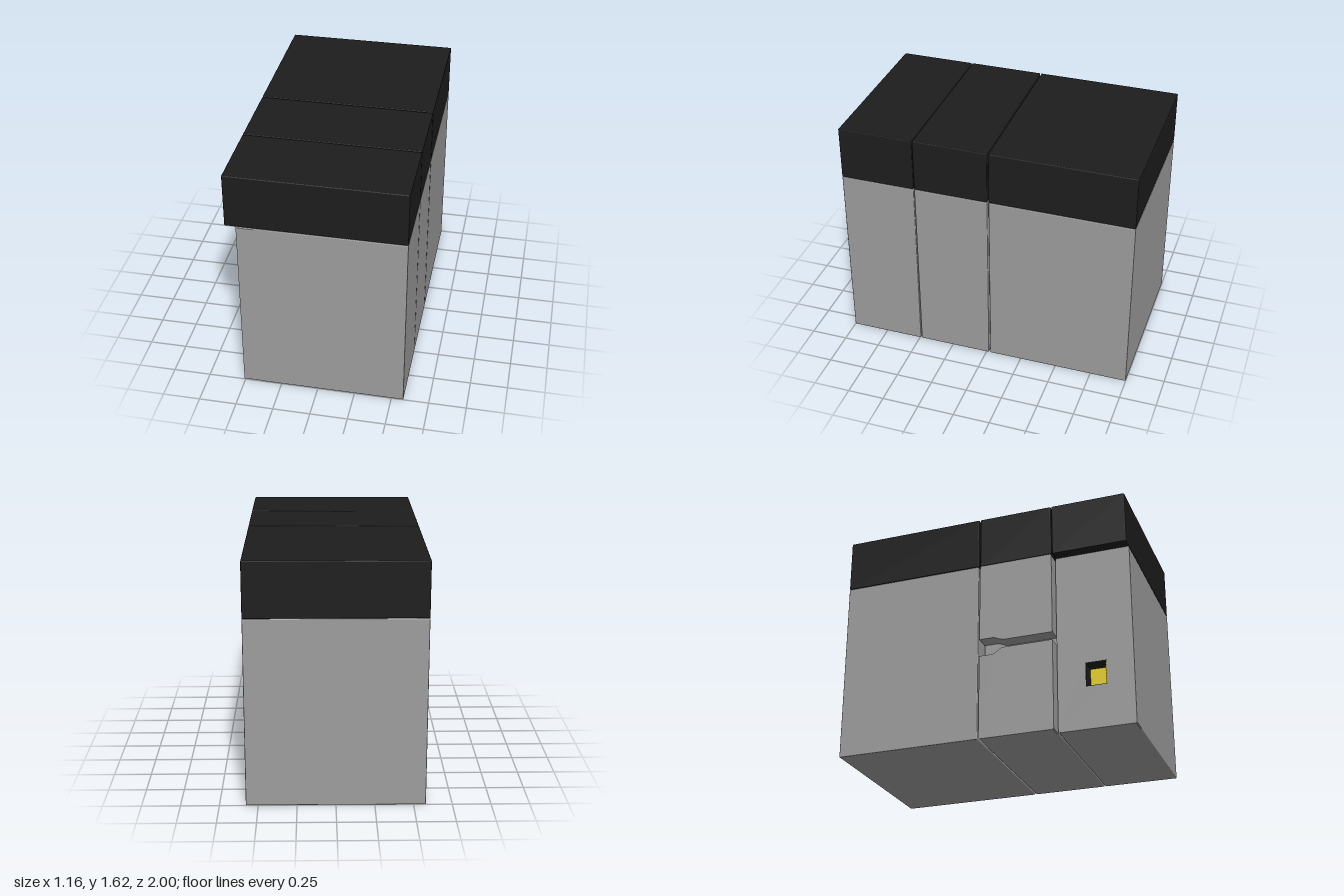
import * as THREE from 'three';
import { RoundedBoxGeometry } from 'three/addons/geometries/RoundedBoxGeometry.js';

const grey = new THREE.MeshStandardMaterial({ color: 0x9d9d9d });
const black = new THREE.MeshStandardMaterial({ color: 0x1d1d1d });
const yellow = new THREE.MeshStandardMaterial({ color: 0xe6d020 });

const HALF = 0.58;      // half width of the cabinets
const BODY_TOP = 1.25;
const LID_BOTTOM = 1.252;
const LID_TOP = 1.617;
const EDGE = 0.006;     // softened edge size

function add(parent, name, geometry, material) {
  const mesh = new THREE.Mesh(geometry, material);
  mesh.name = name;
  parent.add(mesh);
  return mesh;
}

// Box given by its limits on each axis, with softened edges if r > 0
function block(parent, name, [x0, x1], [y0, y1], [z0, z1], material, r = EDGE) {
  const size = [x1 - x0, y1 - y0, z1 - z0];
  const geo = r > 0 ? new RoundedBoxGeometry(...size, 2, r) : new THREE.BoxGeometry(...size);
  geo.translate((x0 + x1) / 2, (y0 + y1) / 2, (z0 + z1) / 2);
  return add(parent, name, geo, material);
}

// Outline of [z, y] points
const outline = (points, Type = THREE.Shape) => new Type(points.map(p => new THREE.Vector2(...p)));

// Cut corners along the bottom and top of a body, matching its softened edges
const bottomEdge = ([z0, z1]) => [[z0, EDGE], [z0 + EDGE, 0], [z1 - EDGE, 0], [z1, EDGE]];
const topEdge = ([z0, z1]) => [
  [z1, BODY_TOP - EDGE], [z1 - EDGE, BODY_TOP], [z0 + EDGE, BODY_TOP], [z0, BODY_TOP - EDGE],
];

// Slab with a z-y outline, running from xInner out to xOuter on the -x side
function sideSlab(parent, name, shape, xInner, xOuter) {
  const geo = new THREE.ExtrudeGeometry(shape, { depth: xInner - xOuter, bevelEnabled: false });
  geo.rotateY(-Math.PI / 2);
  geo.translate(xInner, 0, 0);
  return add(parent, name, geo, grey);
}

export function createModel() {
  const model = new THREE.Group();
  model.name = 'cabinet';
  const section = name => {
    const g = new THREE.Group();
    g.name = name;
    model.add(g);
    return g;
  };
  const back = section('backSection');
  const middle = section('middleSection');
  const front = section('frontSection');

  const backZ = [-1, -0.028], midZ = [-0.018, 0.486], frontZ = [0.492, 1];

  // Dark lids
  for (const [group, z] of [[back, backZ], [middle, midZ], [front, frontZ]]) {
    block(group, 'lid', [-HALF, HALF], [LID_BOTTOM, LID_TOP], z, black);
  }

  // Plain rear body
  block(back, 'backBody', [-HALF, HALF], [0, BODY_TOP], backZ, grey);

  // Middle body, with a cable channel that narrows toward the front
  const wall = -0.48;
  block(middle, 'middleBody', [wall, HALF], [0, BODY_TOP], midZ, grey);
  const [m0, m1] = midZ;
  sideSlab(middle, 'lowerChannelSlab', outline([
    ...bottomEdge(midZ),
    [m1, 0.62], [0.15, 0.62], [0.13, 0.615], [0.09, 0.585], [0.07, 0.58], [m0, 0.58],
  ]), wall + 0.02, -HALF);
  sideSlab(middle, 'upperChannelSlab', outline([
    [m0, 0.70], [0.07, 0.70], [0.09, 0.697], [0.13, 0.68], [0.15, 0.675], [m1, 0.675],
    ...topEdge(midZ),
  ]), wall + 0.02, -HALF);

  // Front body, set in on the -x side, with a socket opening
  const outer = -0.507, inner = -0.4;
  const hz = [0.68, 0.82], hy = [0.29, 0.455];
  block(front, 'frontBody', [inner, HALF], [0, BODY_TOP], frontZ, grey);
  const panel = outline([...bottomEdge(frontZ), ...topEdge(frontZ)]);
  panel.holes.push(outline([
    [hz[0], hy[0]], [hz[0], hy[1]], [hz[1], hy[1]], [hz[1], hy[0]],
  ], THREE.Path));
  sideSlab(front, 'socketPanel', panel, inner + 0.02, outer);

  // Socket lining
  const socket = new THREE.Group();
  socket.name = 'socket';
  front.add(socket);
  const t = 0.004, sx = [outer + 0.002, inner];
  block(socket, 'socketFloor', sx, [hy[0], hy[0] + t], hz, black, 0);
  block(socket, 'socketCeiling', sx, [hy[1] - t, hy[1]], hz, black, 0);
  block(socket, 'socketSide', sx, hy, [hz[0], hz[0] + t], black, 0);
  const plateY = [hy[0] + t, hy[1] - t];
  block(socket, 'contactBack', [inner - t, inner], plateY, [hz[0] + t, hz[1]], yellow, 0);
  block(socket, 'contactPlate', sx, plateY, [hz[1] - t, hz[1]], yellow, 0);

  // Rows of small contacts on the plate
  const stud = new THREE.CylinderGeometry(0.007, 0.007, 0.006, 6).rotateX(Math.PI / 2);
  for (let i = 0; i < 5; i++) {
    for (let j = 0; j < 7; j++) {
      add(socket, 'contact', stud, yellow)
        .position.set(outer + 0.013 + i * 0.02, hy[0] + 0.02 + j * 0.021, hz[1] - t - 0.002);
    }
  }
  return model;
}
